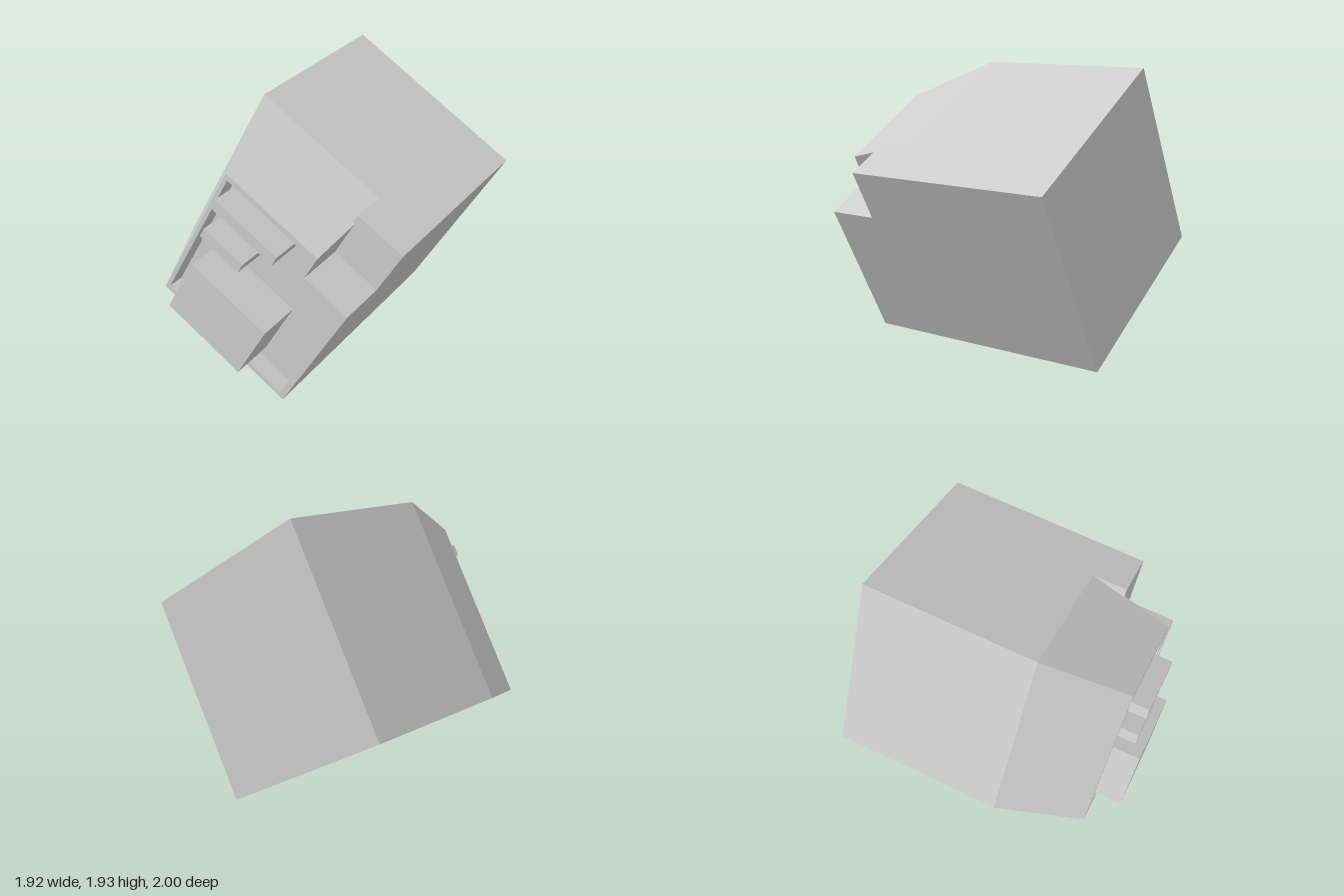
import * as THREE from 'three';

const material = new THREE.MeshStandardMaterial({ color: 0xcccccc, flatShading: true });

// Skins a row of matching outlines (counter-clockwise from the front) and caps both ends.
function loft(sections) {
  const positions = [];
  const put = (s, i) => positions.push(...s.points[i], s.z);
  const n = sections[0].points.length;
  for (let k = 0; k < sections.length - 1; k++) {
    const a = sections[k], b = sections[k + 1];
    for (let i = 0; i < n; i++) {
      const j = (i + 1) % n;
      put(a, i); put(a, j); put(b, j);
      put(a, i); put(b, j); put(b, i);
    }
  }
  const cap = (s, flip) => {
    const outline = s.points.map(([x, y]) => new THREE.Vector2(x, y));
    for (const [a, b, c] of THREE.ShapeUtils.triangulateShape(outline, [])) {
      for (const i of flip ? [a, c, b] : [a, b, c]) put(s, i);
    }
  };
  cap(sections[0], true);
  cap(sections[sections.length - 1], false);
  const geometry = new THREE.BufferGeometry();
  geometry.setAttribute('position', new THREE.Float32BufferAttribute(positions, 3));
  geometry.computeVertexNormals();
  return geometry;
}

// Outline with the upper right corner cut out.
const notched = (left, bottom, right, shelf, inner, top) => [
  [left, bottom], [right, bottom], [right, shelf], [inner, shelf], [inner, top], [left, top],
];

export function createModel() {
  const model = new THREE.Group();

  // Everything is built upright, then tilted onto its lower right edge.
  const tilted = new THREE.Group();
  tilted.name = 'tiltedBuilding';
  tilted.rotation.z = -0.499;
  tilted.position.set(-0.96, 0.67, 0);
  model.add(tilted);

  const add = (name, geometry) => {
    const mesh = new THREE.Mesh(geometry, material);
    mesh.name = name;
    tilted.add(mesh);
  };
  const addBox = (name, x0, x1, y0, y1, z0, z1) => {
    const geometry = new THREE.BoxGeometry(x1 - x0, y1 - y0, z1 - z0);
    geometry.translate((x0 + x1) / 2, (y0 + y1) / 2, (z0 + z1) / 2);
    add(name, geometry);
  };

  // Body with sloping left and top faces, a thin front rim and a recessed front
  const full = notched(0, 0, 1.4, 1.065, 1.035, 1.44);
  const front = notched(0.25, 0, 1.4, 1.065, 1.035, 1.275);
  const recess = notched(0.28, 0.04, 1.355, 1.03, 1.005, 1.235);
  add('body', loft([
    { z: -1, points: full },
    { z: 0.21, points: full },
    { z: 0.81, points: front },
    { z: 0.81, points: recess },
    { z: 0.69, points: recess },
  ]));

  // Block set back in the upper right corner
  addBox('cornerBlock', 1.02, 1.4, 1.06, 1.44, -1, 0.46);

  // Parts standing out of the recess
  addBox('upperLedge', 0.315, 0.847, 1.083, 1.165, 0.68, 0.935);
  addBox('lowerLedge', 0.342, 0.686, 0.812, 0.894, 0.68, 0.935);
  addBox('frontBox', 0.411, 1.07, 0.13, 0.627, 0.68, 1);

  return model;
}
